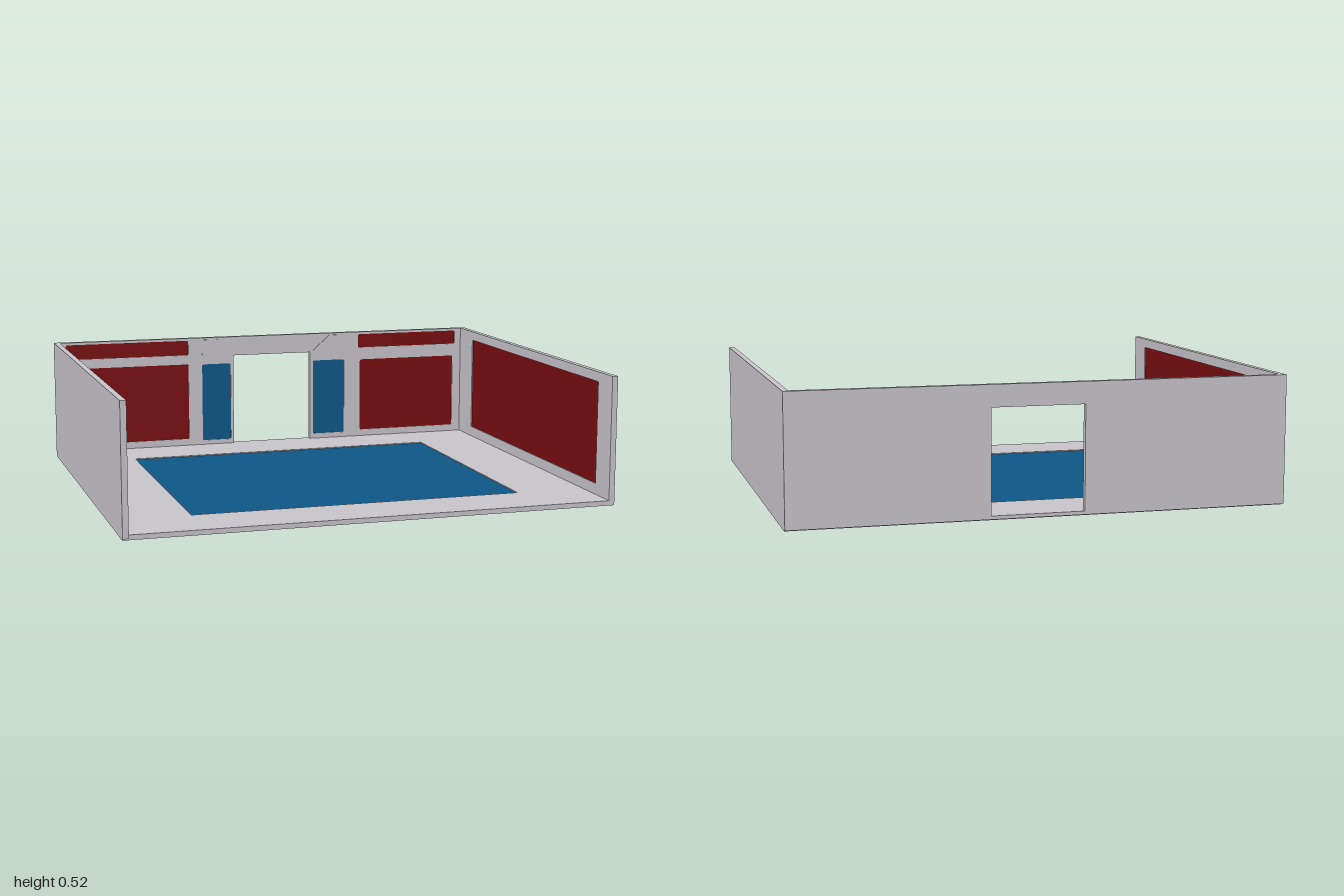
import * as THREE from 'three';

const WALL = 0.024, FLOOR = 0.02, HEIGHT = 0.525, RECESS = 0.005;

const grey = new THREE.MeshStandardMaterial({ color: 0xc7c4ca });
grey.name = 'pale grey';
const red = new THREE.MeshStandardMaterial({ color: 0x780e10 });
red.name = 'dark red';
const blue = new THREE.MeshStandardMaterial({ color: 0x0e5786 });
blue.name = 'deep blue';

// Rectangle with optional rounded corners
function rect(x0, y0, x1, y1, r = 0) {
  const s = new THREE.Shape();
  if (!r) {
    s.moveTo(x0, y0).lineTo(x1, y0).lineTo(x1, y1).lineTo(x0, y1).closePath();
    return s;
  }
  s.moveTo(x0 + r, y0).lineTo(x1 - r, y0);
  s.absarc(x1 - r, y0 + r, r, -Math.PI / 2, 0);
  s.absarc(x1 - r, y1 - r, r, 0, Math.PI / 2);
  s.absarc(x0 + r, y1 - r, r, Math.PI / 2, Math.PI);
  s.absarc(x0 + r, y0 + r, r, Math.PI, Math.PI * 1.5);
  return s;
}

function addMesh(group, name, geometry, material, z = 0) {
  const mesh = new THREE.Mesh(geometry, material);
  mesh.name = name;
  mesh.position.z = z;
  group.add(mesh);
  return mesh;
}

function extrude(shape, holes, depth) {
  const s = shape.clone();
  s.holes = holes;
  return new THREE.ExtrudeGeometry(s, { depth, bevelEnabled: false, curveSegments: 3 });
}

// Slab facing local +z with coloured panels sunk slightly into its face
function slab(name, outline, thickness, panels, openings = []) {
  const g = new THREE.Group();
  g.name = name;
  const core = thickness - RECESS;
  addMesh(g, name + 'Core', extrude(outline, openings, core), grey);
  addMesh(g, name + 'Face',
    extrude(outline, [...openings, ...panels.map((p) => p.shape)], RECESS), grey, core);
  for (const p of panels) {
    addMesh(g, p.name, new THREE.ShapeGeometry(p.shape, 3), p.material, core + 0.001);
  }
  return g;
}

const panel = (name, material, x0, y0, x1, y1, r = 0.008) =>
  ({ name, material, shape: rect(x0, y0, x1, y1, r) });

export function createModel() {
  const model = new THREE.Group();
  model.name = 'room';

  // Floor with sunken blue carpet
  const floor = slab('floor', rect(-1, -0.825, 1, 0.81), FLOOR,
    [panel('carpet', blue, -0.685, -0.58, 0.685, 0.56, 0.004)]);
  floor.rotation.x = -Math.PI / 2;
  model.add(floor);

  // Back wall with doorway and panels
  const backWall = slab('backWall', rect(-1, 0.006, 1, HEIGHT), WALL, [
    panel('upperRedPanel', red, -0.95, 0.446, -0.38, 0.514),
    panel('lowerRedPanel', red, -0.925, 0.05, -0.38, 0.403),
    panel('bluePanel', blue, -0.315, 0.04, -0.178, 0.4),
    panel('bluePanel', blue, 0.225, 0.043, 0.38, 0.396),
    panel('upperRedPanel', red, 0.45, 0.45, 0.945, 0.514),
    panel('lowerRedPanel', red, 0.46, 0.05, 0.935, 0.392),
  ], [rect(-0.165, FLOOR, 0.21, 0.437)]);
  backWall.position.z = -0.83;
  model.add(backWall);

  // Slanted blocks beside the top of the doorway
  for (const [outer, top, low] of [[-0.315, -0.24, -0.175], [0.38, 0.305, 0.225]]) {
    const s = new THREE.Shape();
    s.moveTo(outer, 0.445).lineTo(low, 0.445).lineTo(top, 0.516).lineTo(outer, 0.516).closePath();
    addMesh(backWall, 'doorBracket', extrude(s, [], 0.005), grey, WALL);
  }

  // Side walls, each with one large red panel facing inward
  for (const side of [-1, 1]) {
    const span = (z0, z1) => (side > 0 ? [z0, z1] : [-z1, -z0]);
    const [a, b] = span(-0.806, side > 0 ? 0.825 : 0.83);
    const [c, d] = span(-0.65, 0.7);
    const wall = slab(side > 0 ? 'leftWall' : 'rightWall', rect(a, side > 0 ? FLOOR : 0.006, b, HEIGHT), WALL,
      [panel('sideRedPanel', red, c, 0.065, d, 0.485, 0.004)]);
    wall.rotation.y = -side * Math.PI / 2;
    wall.position.x = side;
    model.add(wall);
  }

  return model;
}
